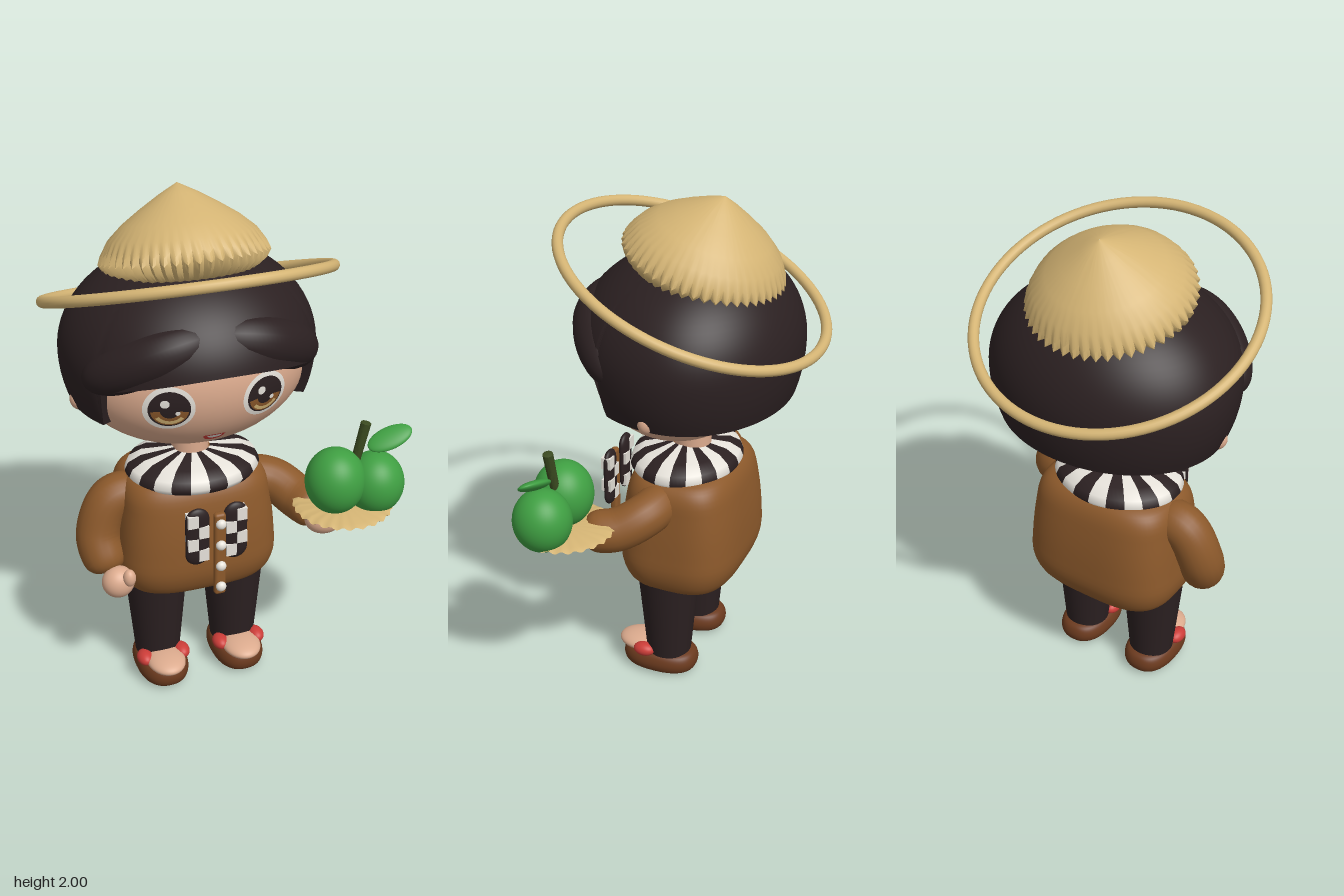
import * as THREE from 'three';
import { mergeGeometries, toCreasedNormals } from 'three/addons/utils/BufferGeometryUtils.js';
import { ParametricGeometry } from 'three/addons/geometries/ParametricGeometry.js';
import { RoundedBoxGeometry } from 'three/addons/geometries/RoundedBoxGeometry.js';

const paint = (name, color) => Object.assign(new THREE.MeshStandardMaterial({ color }), { name });
const V = (a) => new THREE.Vector3(...a);

export function createModel() {
  const skin = paint('skin', 0xdcab8e), dark = paint('dark cloth and hair', 0x2b2021);
  const brown = paint('brown shirt', 0x8c592b), tan = paint('straw', 0xd4b474);
  const green = paint('fruit green', 0x3f9f42), stalkGreen = paint('stalk green', 0x3b4a20);
  const red = paint('red', 0xcc3d38), white = paint('white', 0xe6e2da), shoe = paint('sandal brown', 0x6b3a1e);

  const model = new THREE.Group();
  model.name = 'figure';
  const body = new THREE.Group();
  body.name = 'body';
  body.position.x = -0.106;
  model.add(body);

  const add = (name, geo, mat, pos = [0, 0, 0], rot = [0, 0, 0]) => {
    const m = new THREE.Mesh(geo, mat);
    m.name = name;
    m.position.set(...pos);
    m.rotation.set(...rot);
    body.add(m);
    return m;
  };
  const ball = (name, mat, pos, scale, rot) => {
    const m = add(name, new THREE.SphereGeometry(1, 48, 32), mat, pos, rot);
    m.scale.set(...scale);
    return m;
  };
  // Stacked superellipse sections, each [halfX, y, halfZ], bottom to top
  const loft = (sections, power) => {
    const curve = new THREE.CatmullRomCurve3(sections.map(V));
    const p = new THREE.Vector3();
    const bend = (c) => Math.sign(c) * Math.abs(c) ** (2 / power);
    return new ParametricGeometry((u, v, t) => {
      curve.getPoint(v, p);
      const a = u * Math.PI * 2;
      t.set(p.x * bend(Math.cos(a)), p.y, -p.z * bend(Math.sin(a)));
    }, 64, 32);
  };
  // Round tube along a smooth path with a varying radius
  const sweep = (points, radius) => {
    const curve = new THREE.CatmullRomCurve3(points.map(V));
    const g = new THREE.TubeGeometry(curve, 40, 1, 20);
    const pos = g.attributes.position, v = new THREE.Vector3();
    for (let i = 0; i < pos.count; i++) {
      const t = Math.floor(i / 21) / 40, c = curve.getPointAt(t);
      v.fromBufferAttribute(pos, i).sub(c).multiplyScalar(radius(t)).add(c);
      pos.setXYZ(i, v.x, v.y, v.z);
    }
    return toCreasedNormals(g, 1.2);
  };
  const blunt = (r, k) => (t) => r * Math.sqrt(Math.max(1e-6, 1 - Math.abs(2 * t - 1) ** k));
  // Radial ripple that grows towards the rim
  const ripple = (g, lobes, from, to, amount) => {
    const p = g.attributes.position;
    for (let i = 0; i < p.count; i++) {
      const x = p.getX(i), z = p.getZ(i);
      const k = Math.max(0, (Math.hypot(x, z) - from) / (to - from)) ** 2;
      const wave = k * amount * Math.cos(lobes * Math.atan2(z, x));
      p.setXYZ(i, x * (1 + wave), p.getY(i) - wave * 0.3, z * (1 + wave));
    }
    return toCreasedNormals(g, 0.7);
  };
  const lathe = (pts, seg, start, len) =>
    new THREE.LatheGeometry(pts.map((p) => new THREE.Vector2(...p)), seg, start, len);

  // Head, neck and ears
  ball('head', skin, [0, 1.37, 0.02], [0.45, 0.315, 0.33]);
  add('neck', new THREE.CylinderGeometry(0.072, 0.072, 0.16, 32), skin, [0, 1.03, 0]);
  for (const s of [-1, 1]) ball('ear', skin, [s * 0.42, 1.268, 0.012], [0.045, 0.046, 0.036]);

  // Painted face details wrapped onto the head
  const patch = (name, mat, g, x, y, lift) => {
    g.translate(x, y, 0);
    const p = g.attributes.position;
    for (let i = 0; i < p.count; i++) {
      const d = 1 - (p.getX(i) / 0.45) ** 2 - ((p.getY(i) - 1.37) / 0.315) ** 2;
      p.setZ(i, 0.02 + 0.33 * Math.sqrt(d) + lift);
    }
    g.computeVertexNormals();
    add(name, g, mat);
  };
  const disc = (r, inner = 0, start = 0, len = Math.PI * 2) => new THREE.RingGeometry(inner, r, 40, 5, start, len);
  for (const s of [-1, 1]) {
    const x = s * 0.18, y = 1.333;
    patch('eyeWhite', white, disc(0.09), x, y, 0.004);
    patch('iris', dark, disc(0.073), x, y, 0.007);
    patch('irisGlow', brown, disc(0.066, 0.034, Math.PI * 1.04, Math.PI * 0.92), x, y, 0.01);
    patch('irisSpark', tan, disc(0.06, 0.046, Math.PI * 1.2, Math.PI * 0.6), x, y, 0.012);
    patch('eyeShine', white, disc(0.016), x - 0.018, y + 0.026, 0.011);
    patch('eyeGlint', white, disc(0.009), x + 0.026, y - 0.012, 0.013);
  }
  patch('mouth', red, disc(0.042, 0, Math.PI, Math.PI).scale(1, 0.85, 1), 0, 1.184, 0.004);
  patch('teeth', white, disc(0.028, 0, Math.PI, Math.PI).scale(1, 0.6, 1), 0, 1.183, 0.008);

  // Hair cap, fuller at the front, with an arched opening for the face;
  // the lowest row folds inward
  const hair = new ParametricGeometry((u, v, t) => {
    const a = u * Math.PI * 2, c = Math.cos(a), s = -Math.sin(a);
    const low = s > 0.53 ? 0.15 - 0.33 * c * c : -0.39;
    const fold = v < 0.5 / 28;
    const phi = fold ? low : low + (Math.PI / 2 - low) * (v * 28 - 1) / 27;
    const r = Math.cos(phi) * (fold ? 0.72 : 1);
    t.set(0.483 * r * c, 1.43 + (phi < 0 ? 0.5 : 0.37) * Math.sin(phi), -0.03 + (s > 0 ? 0.475 : 0.39) * r * s);
  }, 120, 28);
  add('hair', toCreasedNormals(hair, 0.8), dark);
  // Fringe locks, mostly sunk into the cap
  add('leftFringe', sweep([[-0.05, 1.59, 0.31], [0.19, 1.535, 0.305], [0.42, 1.4, 0.15]], blunt(0.095, 3)), dark);
  add('rightFringe', sweep([[0.015, 1.59, 0.31], [-0.21, 1.535, 0.295], [-0.44, 1.4, 0.14]], blunt(0.093, 3)), dark);

  // Pleated straw crown and loose brim hoop, both tipped back
  const crown = lathe([[0.18, -0.09], [0.255, -0.07], [0.292, -0.035], [0.307, -0.005], [0.297, 0.025], [0.27, 0.07],
    [0.215, 0.12], [0.15, 0.165], [0.07, 0.215], [0.001, 0.252]], 192);
  add('hatCrown', ripple(crown, 48, 0.2, 0.307, 0.03), tan, [0, 1.761, -0.045], [-0.3, 0, 0]);
  add('hatHoop', new THREE.TorusGeometry(0.532, 0.021, 16, 96), tan, [0, 1.66, -0.003], [Math.PI / 2 - 0.383, 0, 0]);

  // Shirt
  add('shirt', loft([[0.001, 0.42, 0.001], [0.2, 0.422, 0.14], [0.285, 0.452, 0.205], [0.318, 0.53, 0.24],
    [0.316, 0.64, 0.242], [0.302, 0.78, 0.228], [0.286, 0.87, 0.208], [0.25, 0.912, 0.178], [0.12, 0.93, 0.1],
    [0.001, 0.935, 0.001]], 3.2), brown);

  // Striped collar
  const collarProfile = [[0.21, 0.89], [0.25, 0.898], [0.264, 0.92], [0.25, 0.95], [0.2, 0.977], [0.07, 0.995]];
  const stripes = [[], []];
  for (let i = 0; i < 22; i++)
    stripes[i % 2].push(lathe(collarProfile, 4, (i / 22) * Math.PI * 2, Math.PI / 11));
  stripes.forEach((list, i) => {
    add(i ? 'collarWhiteStripes' : 'collarDarkStripes', mergeGeometries(list), i ? white : dark,
      [0, 0, 0.025]).scale.z = 0.82;
  });

  // Checked scarf ends
  for (const s of [-1, 1]) {
    const x = -0.009 + s * 0.075;
    add('scarfEnd', new THREE.CapsuleGeometry(0.047, 0.15, 12, 32), dark, [x, 0.786, 0.335]).scale.z = 0.4;
    for (let row = 0; row < 4; row++) {
      const side = row % 2 ? -s : s;
      add('scarfCheck', new THREE.BoxGeometry(0.04, 0.05, 0.041), white, [x + side * 0.021, 0.861 - row * 0.05, 0.335]);
    }
  }

  // Button strip
  add('buttonStrip', new RoundedBoxGeometry(0.046, 0.36, 0.03, 3, 0.012), brown, [0, 0.7, 0.345]);
  for (let i = 0; i < 4; i++) ball('button', white, [0, 0.84 - i * 0.093, 0.364], [0.02, 0.02, 0.017]);

  // Arms and hands
  add('rightSleeve', sweep([[-0.2, 0.83, 0], [-0.32, 0.805, 0], [-0.382, 0.67, 0.02], [-0.36, 0.53, 0.09]],
    blunt(0.088, 8)), brown);
  ball('rightHand', skin, [-0.345, 0.522, 0.15], [0.064, 0.064, 0.058]);
  ball('rightThumb', skin, [-0.312, 0.56, 0.195], [0.025, 0.036, 0.026]);
  add('leftSleeve', sweep([[0.19, 0.835, 0.03], [0.32, 0.805, 0.07], [0.39, 0.76, 0.16], [0.43, 0.75, 0.28]],
    blunt(0.086, 8)), brown);
  ball('leftHand', skin, [0.445, 0.74, 0.3], [0.08, 0.064, 0.06]);

  // Scalloped tray
  const tray = lathe([[0.001, 0.782], [0.1, 0.784], [0.165, 0.793], [0.19, 0.804], [0.168, 0.814], [0.001, 0.81]], 120);
  add('tray', ripple(tray, 24, 0.14, 0.19, 0.014), tan, [0.508, 0, 0.32]);

  // Fruit with stalk and leaf
  ball('fruit', green, [0.465, 0.925, 0.34], [0.116, 0.131, 0.115]);
  ball('fruit', green, [0.626, 0.892, 0.35], [0.112, 0.124, 0.113]);
  add('stalk', sweep([[0.54, 0.95, 0.33], [0.56, 1.05, 0.335], [0.582, 1.155, 0.338]],
    (t) => (t === 1 ? 0.001 : 0.017 + 0.003 * t)), stalkGreen);
  ball('leaf', green, [0.68, 1.07, 0.345], [0.09, 0.018, 0.047], [0.5, 0.1, 0.36]);

  // Legs, feet and sandals
  for (const s of [-1, 1]) {
    const x = s * 0.161;
    add('leg', new THREE.CylinderGeometry(0.125, 0.09, 0.38, 40), dark, [x, 0.28, 0.04]);
    add('sandalSole', loft([[0.001, 0, 0.001], [0.07, 0.002, 0.12], [0.096, 0.018, 0.148], [0.104, 0.048, 0.156],
      [0.094, 0.08, 0.146], [0.066, 0.094, 0.115], [0.001, 0.096, 0.001]], 2.4), shoe, [x, 0.003, 0.075]);
    ball('foot', skin, [x, 0.1, 0.155], [0.077, 0.034, 0.1]);
    for (const k of [-1, 1]) ball('sandalStrap', red, [x + k * 0.077, 0.105, 0.12], [0.032, 0.028, 0.045]);
  }
  return model;
}
